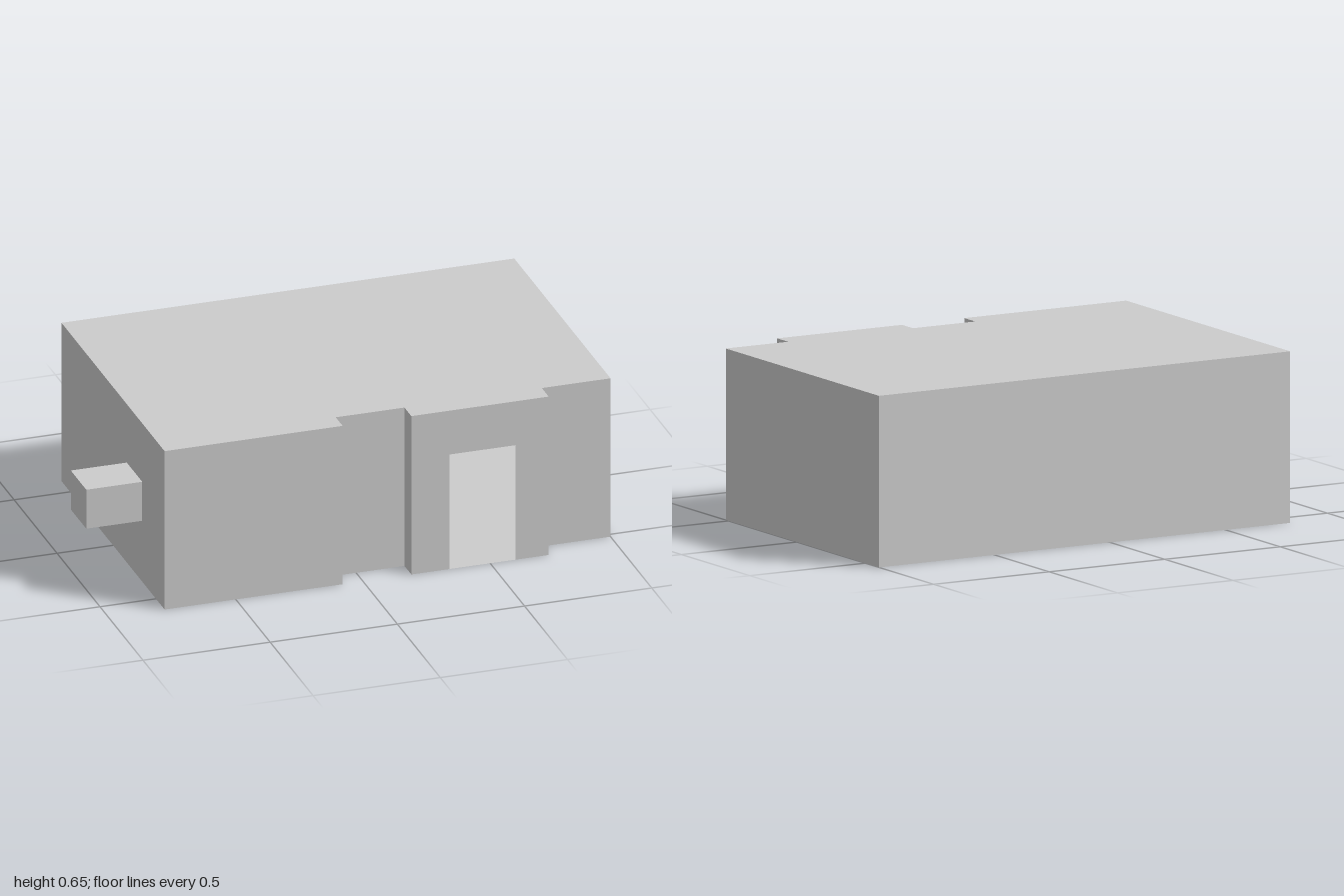
import * as THREE from 'three';

const HEIGHT = 0.65;

// Floor plan as [x, z], running along the front from left to right of the page, then round the back
const PLAN = [
  [-0.78, 0.6], [-0.08, 0.6], [-0.08, 0.52], [0.19, 0.52], [0.19, 0.6],
  [0.73, 0.6], [0.73, 0.52], [1, 0.52], [1, -0.6], [-0.78, -0.6],
];

// Doorway in the projecting front bay, measured along that wall
const DOOR = { wall: 4, from: 0.15, to: 0.41, top: 0.47 };

const polygon = (points) => new THREE.Shape(points.map(([x, y]) => new THREE.Vector2(x, y)));

export function createModel() {
  const model = new THREE.Group();
  const material = new THREE.MeshStandardMaterial({
    color: 0xcccccc, flatShading: true, side: THREE.DoubleSide,
  });
  const add = (name, geometry, parent = model) => {
    const mesh = new THREE.Mesh(geometry, material);
    mesh.name = name;
    parent.add(mesh);
    return mesh;
  };

  // Thin walls, one panel per side of the plan
  const walls = new THREE.Group();
  walls.name = 'walls';
  model.add(walls);
  PLAN.forEach(([x, z], i) => {
    const [nx, nz] = PLAN[(i + 1) % PLAN.length];
    const length = Math.hypot(nx - x, nz - z);
    const isDoorWall = i === DOOR.wall;
    const opening = isDoorWall
      ? [[DOOR.from, 0], [DOOR.from, DOOR.top], [DOOR.to, DOOR.top], [DOOR.to, 0]]
      : [];
    const outline = [[0, 0], ...opening, [length, 0], [length, HEIGHT], [0, HEIGHT]];
    const wall = add(isDoorWall ? 'doorwayWall' : 'wall',
      new THREE.ShapeGeometry(polygon(outline)), walls);
    wall.position.set(x, 0, z);
    wall.rotation.y = Math.atan2(z - nz, nx - x);
  });

  // Floor, visible through the open doorway
  add('floor', new THREE.ShapeGeometry(polygon(PLAN)).rotateX(Math.PI / 2));

  // Flat roof
  const roofPlan = PLAN.map(([x, z]) => [x, -z]);
  add('roof', new THREE.ShapeGeometry(polygon(roofPlan)).rotateX(-Math.PI / 2))
    .position.y = HEIGHT;

  // Small box projecting from the side wall
  add('sideBox', new THREE.BoxGeometry(0.22, 0.16, 0.18)).position.set(-0.89, 0.33, 0.25);

  return model;
}
